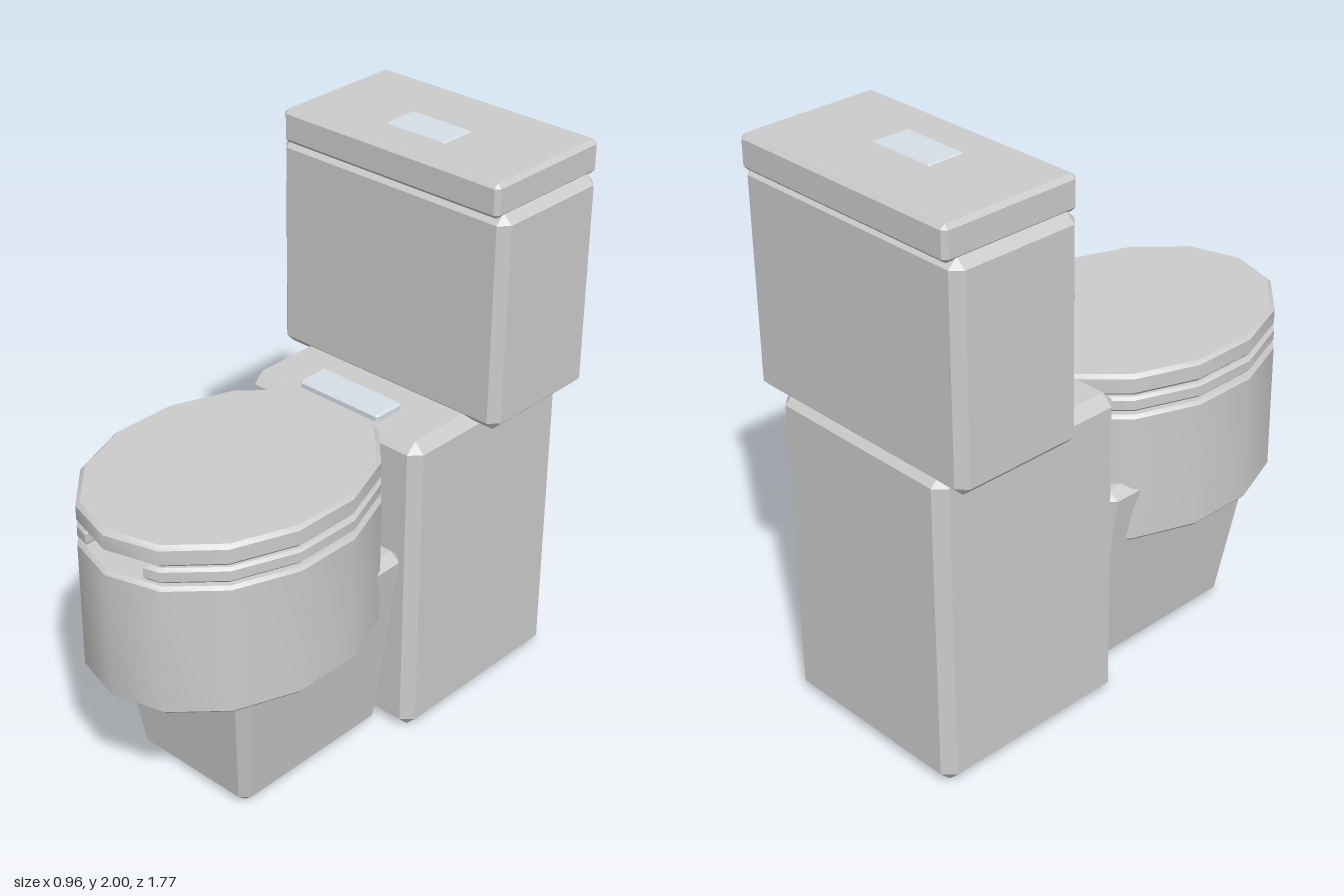
import * as THREE from 'three';
import { toCreasedNormals } from 'three/addons/utils/BufferGeometryUtils.js';
import { ConvexGeometry } from 'three/addons/geometries/ConvexGeometry.js';

const SIDES = 14;
const BOWL_Z = 0.34; // centre of the oval parts

export function createModel() {
  const group = new THREE.Group();
  const ceramic = new THREE.MeshStandardMaterial({ color: 0xcccccc });
  const metal = new THREE.MeshStandardMaterial({ color: 0xd5dde6 });

  function add(name, geometry, material = ceramic) {
    const mesh = new THREE.Mesh(geometry, material);
    mesh.name = name;
    group.add(mesh);
    return mesh;
  }

  // Box with all edges chamfered by c; shape(point) may move its corners
  function chamferBox(halfX, y0, y1, z0, z1, c, shape = (p) => p) {
    const centre = new THREE.Vector3(0, (y0 + y1) / 2, (z0 + z1) / 2);
    const half = new THREE.Vector3(halfX, (y1 - y0) / 2, (z1 - z0) / 2);
    const points = [];
    for (const sx of [-1, 1]) for (const sy of [-1, 1]) for (const sz of [-1, 1]) {
      for (const axis of ['x', 'y', 'z']) {
        const p = half.clone().subScalar(c);
        p[axis] += c;
        p.multiply(new THREE.Vector3(sx, sy, sz)).add(centre);
        points.push(shape(p));
      }
    }
    return new ConvexGeometry(points);
  }

  // Oval turned from a profile of [relative radius, height]
  function oval(profile, rx, rz) {
    const points = profile.map(([r, y]) => new THREE.Vector2(r, y));
    const geometry = new THREE.LatheGeometry(points, SIDES);
    geometry.scale(rx, 1, rz);
    geometry.translate(0, 0, BOWL_Z);
    return toCreasedNormals(geometry, 0.65);
  }

  // Cistern, its lid and flush button
  add('tank', chamferBox(0.48, 1.12, 1.89, -0.87, -0.385, 0.033));
  add('tankLid', chamferBox(0.455, 1.878, 1.996, -0.887, -0.375, 0.015));
  add('flushButton', chamferBox(0.125, 1.985, 2.0, -0.65, -0.513, 0.006), metal);

  // Cabinet behind the bowl
  add('cabinet', chamferBox(0.38, 0, 1.145, -0.87, -0.115, 0.038));
  add('hinge', chamferBox(0.175, 1.135, 1.17, -0.28, -0.158, 0.008), metal);

  // Pedestal, widening upwards to the sides and the front
  add('pedestal', chamferBox(0.246, 0, 0.74, -0.105, 0.549, 0.03, (p) => {
    const t = (p.z + 0.105) / 0.654;
    p.x *= 1 + 0.58 * p.y;
    p.z += p.y * THREE.MathUtils.lerp(-0.02, 0.141, t);
    return p;
  }));

  // Hollow bowl
  add('bowl', oval([
    [0, 0.515], [0.978, 0.515], [1, 0.526], [1, 0.982], [0.978, 0.994],
    [0.7, 0.994], [0.67, 0.97], [0.45, 0.68], [0, 0.6],
  ], 0.431, 0.547));

  // Seat ring, open at the front
  const ring = (rx, rz) => Array.from({ length: SIDES - 1 }, (_, i) => {
    const a = ((i + 1) / SIDES) * Math.PI * 2;
    return new THREE.Vector2(Math.sin(a) * rx, BOWL_Z + Math.cos(a) * rz);
  });
  const outer = ring(0.429, 0.545);
  const gapX = 0.13;
  const gapZ = 0.847;
  const seatShape = new THREE.Shape([
    new THREE.Vector2(gapX, gapZ), ...outer, new THREE.Vector2(-gapX, gapZ),
    ...ring(0.3, 0.4).reverse(),
  ]);
  const bevel = 0.01;
  const seat = new THREE.ExtrudeGeometry(seatShape, {
    depth: 0.034, bevelEnabled: true, bevelSegments: 1,
    bevelSize: bevel, bevelThickness: bevel, bevelOffset: -bevel,
  });
  seat.rotateX(Math.PI / 2);
  seat.translate(0, 1.05, 0);
  add('seat', toCreasedNormals(seat, 0.65));

  // Closed seat cover
  add('seatCover', oval([
    [0, 1.064], [0.97, 1.064], [1, 1.077], [1, 1.127], [0.97, 1.14], [0, 1.14],
  ], 0.425, 0.547));

  return group;
}
